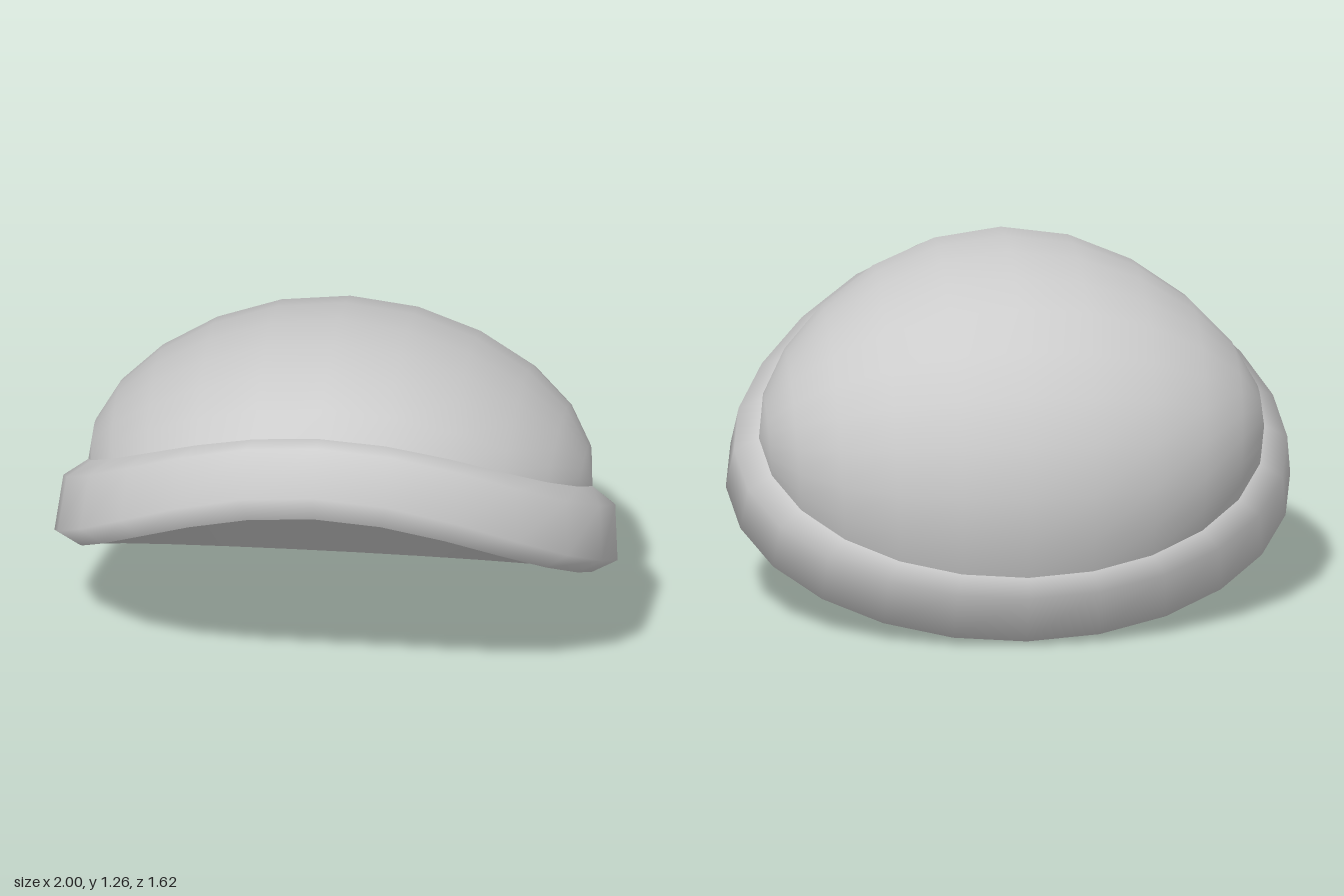
import * as THREE from 'three';
import { mergeVertices } from 'three/addons/utils/BufferGeometryUtils.js';

const SIDES = 24;
const HALF = SIDES / 2;

// Smooth skin over rows of points, optionally closed around each row
function loft(rows, closed) {
  const n = rows[0].length;
  const index = [];
  for (let i = 0; i < rows.length - 1; i++) {
    for (let j = 0; j < (closed ? n : n - 1); j++) {
      const k = (j + 1) % n;
      const a = i * n + j, b = i * n + k;
      index.push(a, b, b + n, a, b + n, a + n);
    }
  }
  let geometry = new THREE.BufferGeometry();
  geometry.setAttribute('position', new THREE.Float32BufferAttribute(rows.flat(2), 3));
  geometry.setIndex(index);
  geometry = mergeVertices(geometry, 1e-5);
  geometry.computeVertexNormals();
  return geometry;
}

// Tilted oval with a flat back half and a front half that curls upward:
// half width, front point (z, y), back point (z, y), height at the sides
function ring([rx, zFront, yFront, zBack, yBack, ySide]) {
  const zMid = (zFront + zBack) / 2;
  const rz = (zFront - zBack) / 2;
  const slope = ySide - yBack;
  const curl = yFront - ySide - slope;
  return Array.from({ length: SIDES }, (_, j) => {
    const angle = (j / SIDES) * Math.PI * 2;
    const c = Math.cos(angle);
    return [rx * Math.sin(angle), ySide + slope * c + curl * Math.max(c, 0) ** 3, zMid + rz * c];
  });
}

// Crown centre line (z, y) from the front seam over the top to the back seam
const centreLine = [
  [0.59, 1.12], [0.5, 1.19], [0.35, 1.245], [0.16, 1.265], [-0.03, 1.26],
  [-0.23, 1.22], [-0.4, 1.155], [-0.57, 1.045], [-0.69, 0.91], [-0.775, 0.75],
  [-0.81, 0.57], [-0.8, 0.4], [-0.76, 0.27],
];

// Arc over the crown from the right side to the left, through one centre line point
function crownArc([z, y], i) {
  const t = i / (centreLine.length - 1);
  const curl = 0.16 * (1 - t);
  const bulge = 0.045 * Math.sin(Math.PI * t);
  return Array.from({ length: HALF + 1 }, (_, j) => {
    const angle = (j / HALF - 0.5) * Math.PI;
    const s = Math.sin(angle), c = Math.cos(angle);
    return [
      0.895 * s + bulge * s * c,
      0.615 + (y - 0.615 - curl) * c + curl * c ** 3,
      -0.085 + (z + 0.085) * c,
    ];
  });
}

export function createModel() {
  const group = new THREE.Group();
  group.name = 'knitCap';

  const grey = new THREE.MeshStandardMaterial({ color: 0xcccccc });
  grey.name = 'light grey';

  // Folded brim, from the opening up to the crown seam
  const brim = [
    [0.91, 0.77, 0.895, -0.61, 0.005, 0.36],
    [1.0, 0.81, 1.0, -0.7, 0.02, 0.4],
    [0.98, 0.69, 1.135, -0.79, 0.2, 0.565],
    [0.895, 0.59, 1.12, -0.76, 0.27, 0.615],
  ].map(ring);

  // Underside spanned from the back of the opening to its front
  const opening = brim[0];
  const frontEdge = [], backEdge = [];
  for (let j = -HALF / 2; j <= HALF / 2; j++) {
    frontEdge.push(opening[(j + SIDES) % SIDES]);
    backEdge.push(opening[HALF - j]);
  }

  const parts = {
    brim: loft(brim, true),
    crown: loft(centreLine.map(crownArc), false),
    underside: loft([backEdge, frontEdge], false),
  };
  for (const [name, geometry] of Object.entries(parts)) {
    const mesh = new THREE.Mesh(geometry, grey);
    mesh.name = name;
    group.add(mesh);
  }
  return group;
}
